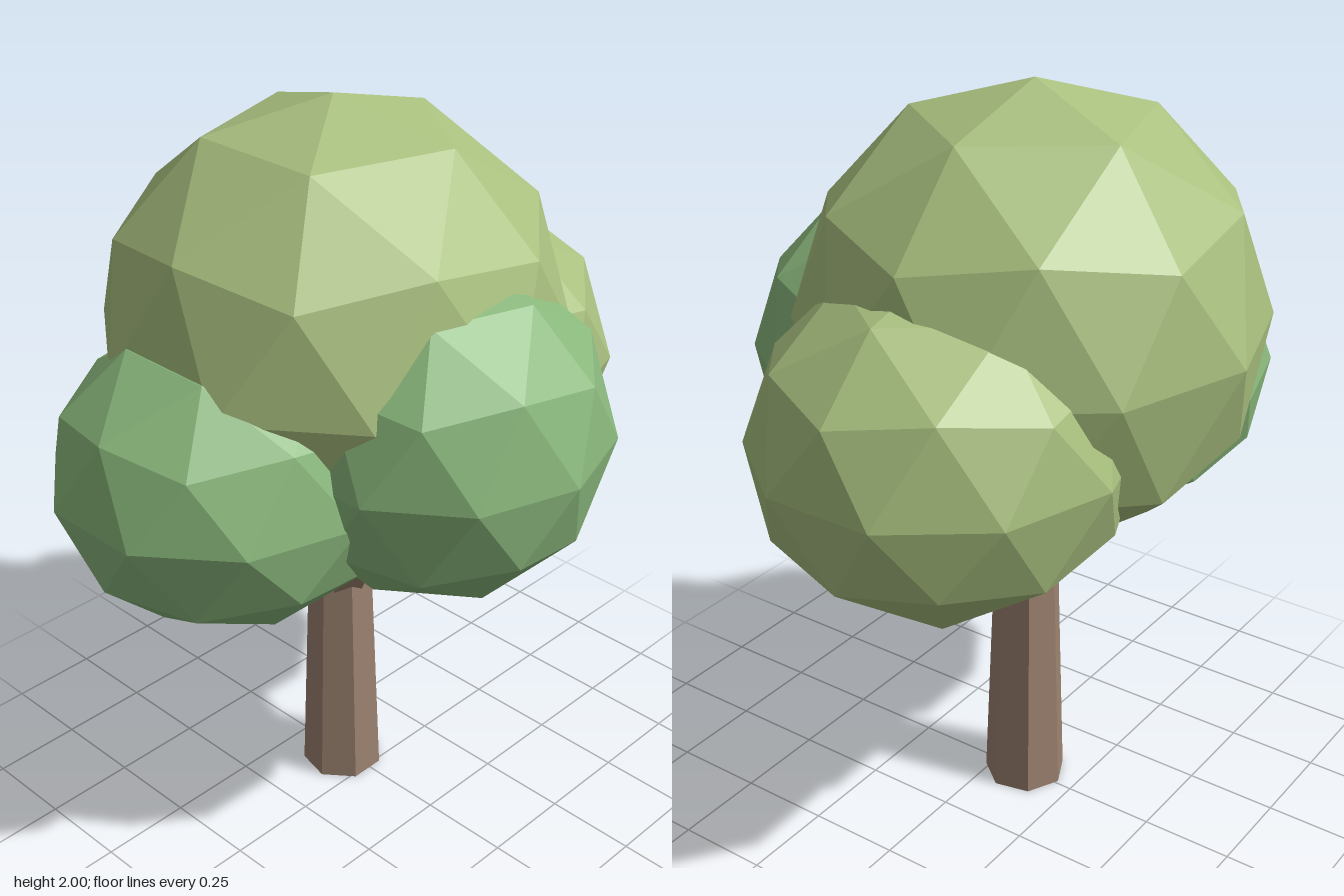
import * as THREE from 'three';

const BARK = 0x9c8270;
const LIME = 0xa9c07f;
const GREEN = 0x8ab87c;

const material = (color) => new THREE.MeshStandardMaterial({ color, flatShading: true });

// Low-poly leaf ball: an icosphere with one corner straight up, stretched to its radii
function leafBall(name, color, centre, radii) {
  const geometry = new THREE.IcosahedronGeometry(1, 1);
  geometry.rotateZ(-Math.atan(2 / (1 + Math.sqrt(5))));
  geometry.scale(...radii);
  geometry.computeVertexNormals();
  const mesh = new THREE.Mesh(geometry, material(color));
  mesh.name = name;
  mesh.position.set(...centre);
  return mesh;
}

export function createModel() {
  const tree = new THREE.Group();
  tree.name = 'tree';

  // Trunk and branches share one axis
  const wood = new THREE.Group();
  wood.name = 'wood';
  wood.position.set(-0.01, 0, -0.09);
  tree.add(wood);

  // Seven-sided tapering trunk with a corner at the back
  const trunkGeometry = new THREE.CylinderGeometry(0.077, 0.113, 1, 7);
  trunkGeometry.rotateY(Math.PI);
  trunkGeometry.translate(0, 0.5, 0);
  const trunk = new THREE.Mesh(trunkGeometry, material(BARK));
  trunk.name = 'trunk';
  wood.add(trunk);

  // Three square branches leaning outwards, evenly spaced round the trunk
  for (let i = 0; i < 3; i++) {
    const geometry = new THREE.BoxGeometry(0.06, 0.4, 0.078);
    geometry.translate(0, 0.2, 0);
    geometry.rotateZ(-0.652);
    geometry.translate(0.03, 0.62, 0);
    const branch = new THREE.Mesh(geometry, material(BARK));
    branch.name = `branch${i + 1}`;
    branch.rotation.y = (i * 2 * Math.PI) / 3;
    wood.add(branch);
  }

  // Crown of four overlapping leaf balls
  tree.add(
    leafBall('topFoliage', LIME, [-0.012, 1.4, -0.1], [0.612, 0.6, 0.6]),
    leafBall('leftFoliage', LIME, [0.355, 1.2, -0.095], [0.495, 0.44, 0.475]),
    leafBall('rightFoliage', GREEN, [-0.38, 1.14, -0.095], [0.472, 0.4, 0.44]),
    leafBall('frontFoliage', GREEN, [-0.01, 1.235, 0.255], [0.44, 0.44, 0.44])
  );

  return tree;
}
